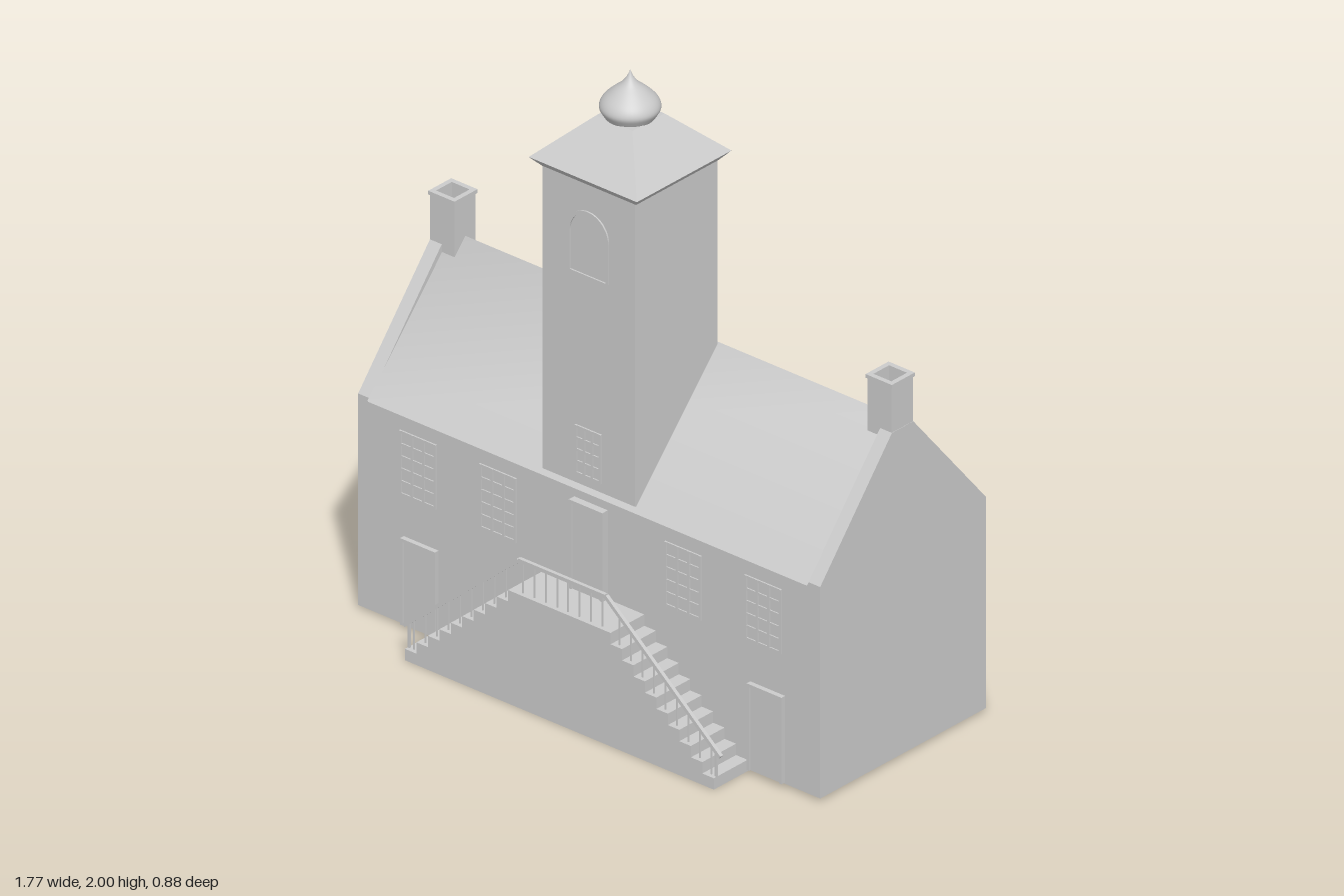
import * as THREE from 'three';

const mat = new THREE.MeshStandardMaterial({ color: 0xcccccc });
const thin = new THREE.MeshStandardMaterial({ color: 0xcccccc, side: THREE.DoubleSide });
const flat = new THREE.MeshStandardMaterial({ color: 0xcccccc, flatShading: true });

export function createModel() {
  const model = new THREE.Group();
  const WALL = 0.29, MID = -0.07; // front wall plane, ridge line

  const add = (name, geo, parent = model, material = mat) => {
    const mesh = new THREE.Mesh(geo, material);
    mesh.name = name;
    parent.add(mesh);
    return mesh;
  };
  // box given by its limits on each axis
  const box = (name, x0, x1, y0, y1, z0, z1, parent = model) => {
    const m = add(name, new THREE.BoxGeometry(x1 - x0, y1 - y0, z1 - z0), parent);
    m.position.set((x0 + x1) / 2, (y0 + y1) / 2, (z0 + z1) / 2);
    return m;
  };
  const group = (name) => {
    const g = new THREE.Group();
    g.name = name;
    model.add(g);
    return g;
  };
  const shape = (pts) => new THREE.Shape(pts.map(([x, y]) => new THREE.Vector2(x, y)));
  const extrude = (s, depth) =>
    new THREE.ExtrudeGeometry(s, { depth, bevelEnabled: false, curveSegments: 16 });
  // profile in (z, y), extruded along x and centred at cx
  const alongX = (name, pts, cx, width) => {
    const geo = extrude(shape(pts.map(([z, y]) => [-z, y])), width);
    geo.rotateY(Math.PI / 2).translate(cx - width / 2, 0, 0);
    return add(name, geo);
  };

  // main house
  box('houseWalls', -0.88, 0.88, 0.01, 0.7, -0.43, WALL);

  // roof: two slopes shaded smoothly over the ridge, on a solid core
  const slope = new THREE.BufferGeometry();
  const pos = [];
  for (const [z, y] of [[0.3, 0.695], [MID, 1.1], [-0.44, 0.695]])
    for (const x of [-0.837, 0.837]) pos.push(x, y, z);
  slope.setAttribute('position', new THREE.Float32BufferAttribute(pos, 3));
  slope.setIndex([0, 1, 3, 0, 3, 2, 2, 3, 5, 2, 5, 4]);
  slope.computeVertexNormals();
  add('roof', slope, model, thin);
  alongX('roofCore', [[0.298, 0.692], [MID, 1.096], [-0.438, 0.692]], 0, 1.672);

  // gable parapets and hollow chimneys
  for (const s of [-1, 1]) {
    alongX('gable', [[WALL, 0.69], [WALL, 0.7], [-0.022, 1.075], [-0.115, 1.075],
      [-0.43, 0.7], [-0.43, 0.69]], s * 0.8575, 0.045);
    const ring = (half, y0, y1, name) => {
      const ringShape = shape([[-half, -half], [half, -half], [half, half], [-half, half]]);
      const h = 0.034;
      ringShape.holes.push(shape([[-h, -h], [-h, h], [h, h], [h, -h]]));
      const m = add(name, extrude(ringShape, y1 - y0).rotateX(-Math.PI / 2));
      m.position.set(s * 0.833, y0, -0.068);
    };
    ring(0.046, 1.05, 1.225, 'chimney');
    ring(0.05, 1.222, 1.234, 'chimneyRim');
    box('chimneyFloor', s * 0.833 - 0.04, s * 0.833 + 0.04, 1.05, 1.15, -0.108, -0.028);
  }

  // tower with flared eaves, hipped roof and onion dome
  const TZ = 0.112;
  box('tower', -0.177, 0.177, 0.71, 1.7, -0.066, 0.292);
  const frustum = (name, bottom, top, y0, y1) => {
    const geo = new THREE.CylinderGeometry(top * Math.SQRT2, bottom * Math.SQRT2, y1 - y0, 4);
    geo.rotateY(Math.PI / 4);
    add(name, geo, model, flat).position.set(0, (y0 + y1) / 2, TZ);
  };
  frustum('towerEaves', 0.179, 0.206, 1.695, 1.725);
  frustum('towerRoof', 0.206, 0.07, 1.725, 1.853);
  const bulb = new THREE.SplineCurve([[0.07, 1.845], [0.08, 1.86], [0.09, 1.882], [0.08, 1.907],
    [0.052, 1.935], [0.026, 1.957], [0.01, 1.978], [0, 2]].map((p) => new THREE.Vector2(...p)));
  const profile = bulb.getPoints(28).map((p) => p.setX(Math.max(p.x, 0)));
  add('onionDome', new THREE.LatheGeometry(profile, 40), model, thin).position.z = TZ;

  // windows: raised frame with glazing bars
  const glazedWindow = (name, cx, y0, w, h, z, cols, rows) => {
    const g = group(name);
    const x0 = cx - w / 2, b = 0.008;
    box('pane', x0, x0 + w, y0, y0 + h, z - 0.01, z + 0.001, g);
    for (let i = 0; i <= cols; i++) {
      const x = x0 + (w - b) * i / cols;
      box('uprightBar', x, x + b, y0, y0 + h, z - 0.01, z + 0.006, g);
    }
    for (let j = 0; j <= rows; j++) {
      const y = y0 + (h - b) * j / rows;
      box('crossBar', x0, x0 + w, y, y + b, z - 0.01, z + 0.005, g);
    }
  };
  for (const x of [-0.65, -0.345, 0.36, 0.665]) glazedWindow('window', x, 0.43, 0.14, 0.21, WALL, 3, 5);
  glazedWindow('towerWindow', 0, 0.74, 0.1, 0.16, 0.292, 3, 4);

  // arched panel high on the tower
  const arch = (r, y0, y1) => {
    const s = new THREE.Shape();
    s.moveTo(-r, y0);
    s.lineTo(r, y0);
    s.lineTo(r, y1);
    s.absarc(0, y1, r, 0, Math.PI, false);
    s.lineTo(-r, y0);
    return s;
  };
  const archFrame = arch(0.078, 1.4, 1.532);
  archFrame.holes.push(arch(0.068, 1.401, 1.532));
  add('archedOpening', extrude(archFrame, 0.006)).position.z = 0.291;

  // doors: frame with a slightly set-back leaf
  const door = (cx, y0, w, h, z) => {
    const g = group('door');
    const x0 = cx - w / 2, x1 = cx + w / 2, b = 0.01;
    box('doorLeaf', x0, x1, y0, y0 + h, 0.28, z - 0.005, g);
    box('doorJamb', x0, x0 + b, y0, y0 + h, 0.28, z, g);
    box('doorJamb', x1 - b, x1, y0, y0 + h, 0.28, z, g);
    box('doorLintel', x0, x1, y0 + h - b, y0 + h, 0.28, z, g);
  };
  door(0.007, 0.37, 0.128, 0.29, 0.314);
  door(-0.64, 0.015, 0.133, 0.282, 0.306);
  door(0.68, 0.015, 0.133, 0.282, 0.306);

  // double stair rising to the central landing
  const CX = 0.015, N = 10, RISE = 0.037, RUN = 0.0437, LAND = 0.195;
  const right = [];
  for (let i = 0; i < N; i++) {
    const x = LAND + i * RUN, y = (N - i) * RISE;
    right.push([x, y], [x, y - RISE]);
  }
  const outline = [...right, ...right.map(([x, y]) => [-x, y]).reverse()].reverse();
  const stair = add('doubleStair', extrude(shape(outline), 0.15));
  stair.position.set(CX, 0, 0.287);

  // railing: sloping handrail and thin balusters
  const rail = group('railing');
  rail.position.set(CX, 0, 0.422);
  const bar = (name, x0, y0, x1, y1, t) => {
    const len = Math.hypot(x1 - x0, y1 - y0);
    const m = add(name, new THREE.BoxGeometry(len, t, t), rail);
    m.position.set((x0 + x1) / 2, (y0 + y1) / 2, 0);
    m.rotation.z = Math.atan2(y1 - y0, x1 - x0);
  };
  const TOP = 0.474, BEND = 0.165, END = 0.602, LOW = 0.105;
  const railY = (x) => (x < BEND ? TOP : TOP - (x - BEND) * (TOP - LOW) / (END - BEND));
  const stepY = (x) =>
    x < LAND ? N * RISE : Math.max(0, (N - 1 - Math.floor((x - LAND) / RUN)) * RISE);
  bar('landingRail', -BEND, TOP, BEND, TOP, 0.012);
  for (const s of [-1, 1]) {
    bar('stairRail', s * BEND, TOP, s * END, LOW, 0.012);
    for (let i = 0; i < 4; i++) {
      const x = 0.02 + i * 0.0437;
      bar('baluster', s * x, stepY(x), s * x, railY(x), 0.004);
    }
    for (let i = 0; i < N - 1; i++) {
      const x = LAND + (i + 0.5) * RUN;
      bar('baluster', s * x, stepY(x), s * x, railY(x), 0.004);
    }
    bar('newelPost', s * 0.585, 0.01, s * 0.585, railY(0.585), 0.007);
  }

  return model;
}
